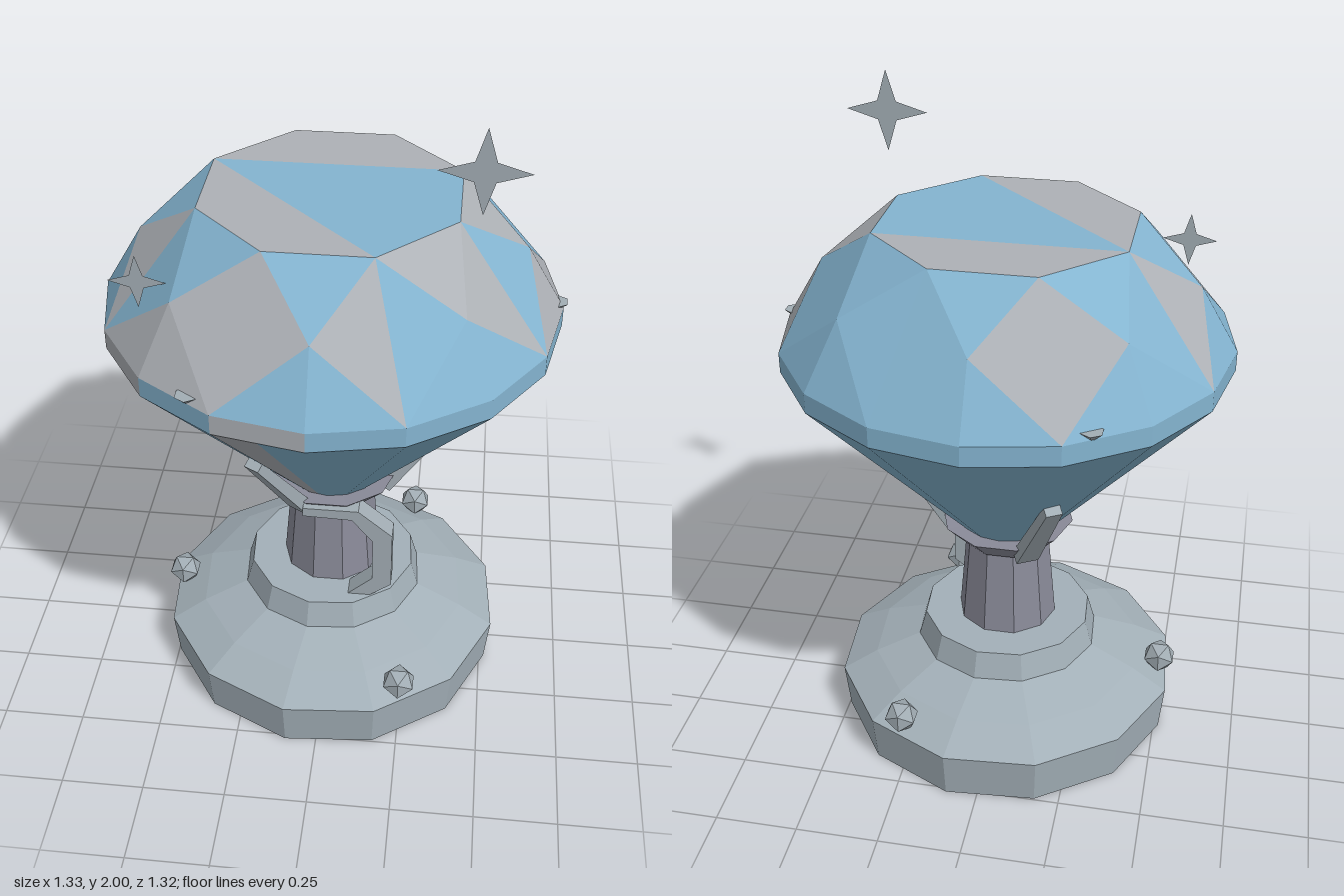
import * as THREE from 'three';

const mat = (name, color, extra = {}) => {
  const m = new THREE.MeshStandardMaterial({ color, flatShading: true, ...extra });
  m.name = name;
  return m;
};

export function createModel() {
  const blue = mat('gem blue', 0x84b4d0);
  const pale = mat('gem grey', 0xadb1b6);
  const steel = mat('base steel', 0xa3b0b8);
  const dark = mat('neck grey', 0x8a8b99);
  const silver = mat('silver', 0xa2adb4, { side: THREE.DoubleSide });

  const model = new THREE.Group();
  model.name = 'gemTrophy';
  const add = (name, geo, material, parent = model) => {
    const m = new THREE.Mesh(geo, material);
    m.name = name;
    parent.add(m);
    return m;
  };

  // Cut gem: facets are sorted into the two colours
  const tris = { blue: [], pale: [] };
  const inside = new THREE.Vector3(0, 1.25, 0);
  const facet = (isPale, a, b, c) => {
    const n = b.clone().sub(a).cross(c.clone().sub(a));
    const out = a.clone().add(b).add(c).divideScalar(3).sub(inside);
    const order = n.dot(out) < 0 ? [a, c, b] : [a, b, c];
    for (const p of order) (isPale ? tris.pale : tris.blue).push(p.x, p.y, p.z);
  };
  const ring = (r, y, step, shift = 0) => (i) => {
    const a = THREE.MathUtils.degToRad(i * step + shift);
    return new THREE.Vector3(r * Math.cos(a), y, r * Math.sin(a));
  };
  const table = ring(0.384, 1.67, 45, 22.5);
  const mid = ring(0.548, 1.52, 45);
  const girdle = ring(0.66, 1.33, 22.5);
  const belt = ring(0.66, 1.27, 22.5);
  const culet = new THREE.Vector3(0, 0.53, 0);
  const paleStars = [0, 1], paleKiteA = [2, 4, 5], paleKiteB = [0, 1, 2, 3, 5];
  const paleLowA = [0, 3], paleLowB = [0, 3], paleBelt = [4, 6, 15], palePavilion = [0, 15];

  // Flat top
  for (const [a, b, c, grey] of [[4, 7, 0, 0], [4, 0, 1, 0], [4, 5, 6, 1], [4, 6, 7, 1], [1, 2, 3, 1], [1, 3, 4, 1]])
    facet(grey, table(a), table(b), table(c));
  // Crown
  for (let i = 0; i < 8; i++) {
    facet(paleStars.includes(i), table(i - 1), table(i), mid(i));
    facet(paleKiteA.includes(i), table(i), mid(i), girdle(2 * i + 1));
    facet(paleKiteB.includes(i), table(i), mid(i + 1), girdle(2 * i + 1));
    facet(paleLowA.includes(i), mid(i), girdle(2 * i), girdle(2 * i - 1));
    facet(paleLowB.includes(i), mid(i), girdle(2 * i), girdle(2 * i + 1));
  }
  // Girdle band and pavilion
  for (let j = 0; j < 16; j++) {
    facet(paleBelt.includes(j), girdle(j), girdle(j + 1), belt(j));
    facet(paleBelt.includes(j), girdle(j + 1), belt(j + 1), belt(j));
    const half = belt(j).lerp(belt(j + 1), 0.5);
    const grey = palePavilion.includes(j);
    facet(grey, belt(j), half, culet);
    facet(grey || j === 4, half, belt(j + 1), culet);
  }
  const gem = new THREE.Group();
  gem.name = 'gem';
  model.add(gem);
  for (const [key, material] of [['blue', blue], ['pale', pale]]) {
    const geo = new THREE.BufferGeometry();
    geo.setAttribute('position', new THREE.Float32BufferAttribute(tris[key], 3));
    geo.computeVertexNormals();
    add(key + 'Facets', geo, material, gem);
  }

  // Stepped base, neck and flared collar
  const lathe = (name, pts, sides, start, material) =>
    add(name, new THREE.LatheGeometry(pts.map(p => new THREE.Vector2(...p)), sides, start), material);
  lathe('base', [[0, 0], [0.525, 0], [0.54, 0.15], [0.43, 0.21], [0.29, 0.265], [0, 0.265]], 12, 0.34, steel);
  lathe('upperBase', [[0.29, 0.26], [0.265, 0.35], [0, 0.35]], 12, 0.34, steel);
  lathe('neck', [[0.155, 0.35], [0.13, 0.64]], 10, Math.PI / 2, dark);
  lathe('collar', [[0, 0.63], [0.14, 0.63], [0.205, 0.7], [0, 0.69]], 10, Math.PI / 2, dark);

  // Three prongs, girdle claws and studs
  const up = new THREE.Vector3(0, 1, 0);
  for (let k = 0; k < 3; k++) {
    const a = k * Math.PI * 2 / 3;
    const prongGroup = new THREE.Group();
    prongGroup.name = 'prongArm';
    prongGroup.rotation.y = a;
    model.add(prongGroup);

    const foot = new THREE.Vector3(0.165, 0.65, 0), tip = new THREE.Vector3(0.385, 0.95, 0);
    const dir = tip.clone().sub(foot);
    const prong = add('prong', new THREE.CylinderGeometry(0.035, 0.05, dir.length(), 4, 1, false, Math.PI / 4), silver, prongGroup);
    prong.scale.x = 0.6;
    prong.position.copy(foot).lerp(tip, 0.5);
    prong.quaternion.setFromUnitVectors(up, dir.normalize());

    const claw = add('claw', new THREE.ConeGeometry(0.033, 0.03, 6), silver, prongGroup);
    claw.rotation.x = Math.PI;
    claw.position.set(0.64, 1.335, 0);

    const stud = add('stud', new THREE.IcosahedronGeometry(0.053, 0), silver);
    stud.position.set(0.5 * Math.cos(a + Math.PI), 0.21, 0.5 * Math.sin(a + Math.PI));
  }

  // Angular handle in front of the neck
  const outline = [[-0.07, 0.69], [0.1, 0.69], [0.205, 0.6], [0.205, 0.4], [0.14, 0.35],
    [0.07, 0.35], [0.145, 0.42], [0.145, 0.575], [0.08, 0.655], [-0.07, 0.66]];
  const handleShape = new THREE.Shape(outline.map(p => new THREE.Vector2(...p)));
  add('handle', new THREE.ExtrudeGeometry(handleShape, { depth: 0.065, bevelEnabled: false }), silver)
    .position.z = 0.143;

  // Flat four-pointed sparkles
  const sparkle = (x, y, z, r) => {
    const pts = [];
    for (let i = 0; i < 8; i++) {
      const a = i * Math.PI / 4, q = i % 2 ? r * 0.33 : r;
      pts.push(new THREE.Vector2(q * Math.cos(a), q * Math.sin(a)));
    }
    add('sparkle', new THREE.ShapeGeometry(new THREE.Shape(pts)), silver).position.set(x, y, z);
  };
  sparkle(0.41, 1.88, 0.27, 0.12);
  sparkle(-0.49, 1.53, 0.31, 0.08);
  return model;
}
